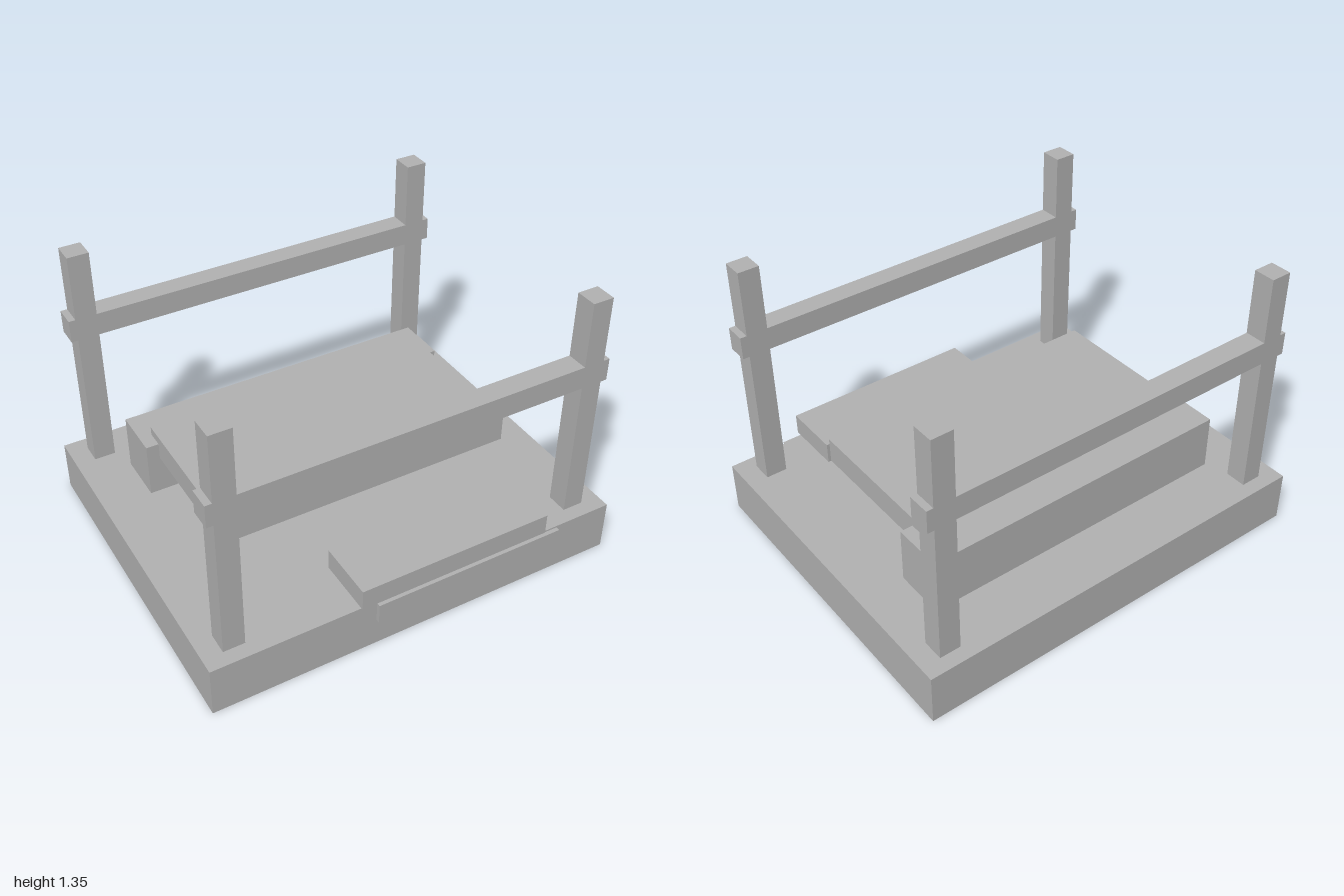
import * as THREE from 'three';

export function createModel() {
  const group = new THREE.Group();
  const stone = new THREE.MeshStandardMaterial({ color: 0xb2b2b2 });
  stone.name = 'plain grey';

  // Box given by its extents along each axis
  function box(name, [x0, x1], [y0, y1], [z0, z1]) {
    const mesh = new THREE.Mesh(new THREE.BoxGeometry(x1 - x0, y1 - y0, z1 - z0), stone);
    mesh.position.set((x0 + x1) / 2, (y0 + y1) / 2, (z0 + z1) / 2);
    mesh.name = name;
    group.add(mesh);
  }

  // Platform
  box('base', [-1, 1], [0, 0.246], [-0.826, 0.806]);

  // Raised slab and the block that carries its rear edge
  box('slab', [-0.713, 0.713], [0.432, 0.554], [-0.378, 0.356]);
  box('rearBlock', [-0.773, 0.773], [0.246, 0.512], [-0.54, -0.297]);

  // Two offset front steps, the lower one mostly sunk into the base
  box('upperStep', [-0.31, 0.631], [0.26, 0.361], [0.541, 0.826]);
  box('lowerStep', [-0.227, 0.713], [0.138, 0.238], [0.541, 0.826]);

  // Front and rear frames: two posts joined by a crossbeam
  for (const [side, z] of [['front', 0.685], ['rear', -0.705]]) {
    const depth = [z - 0.051, z + 0.051];
    box(side + 'LeftPost', [0.807, 0.907], [0.246, 1.35], depth);
    box(side + 'RightPost', [-0.907, -0.807], [0.246, 1.35], depth);
    box(side + 'Crossbeam', [-0.938, 0.938], [0.93, 1.038], depth);
  }

  return group;
}
